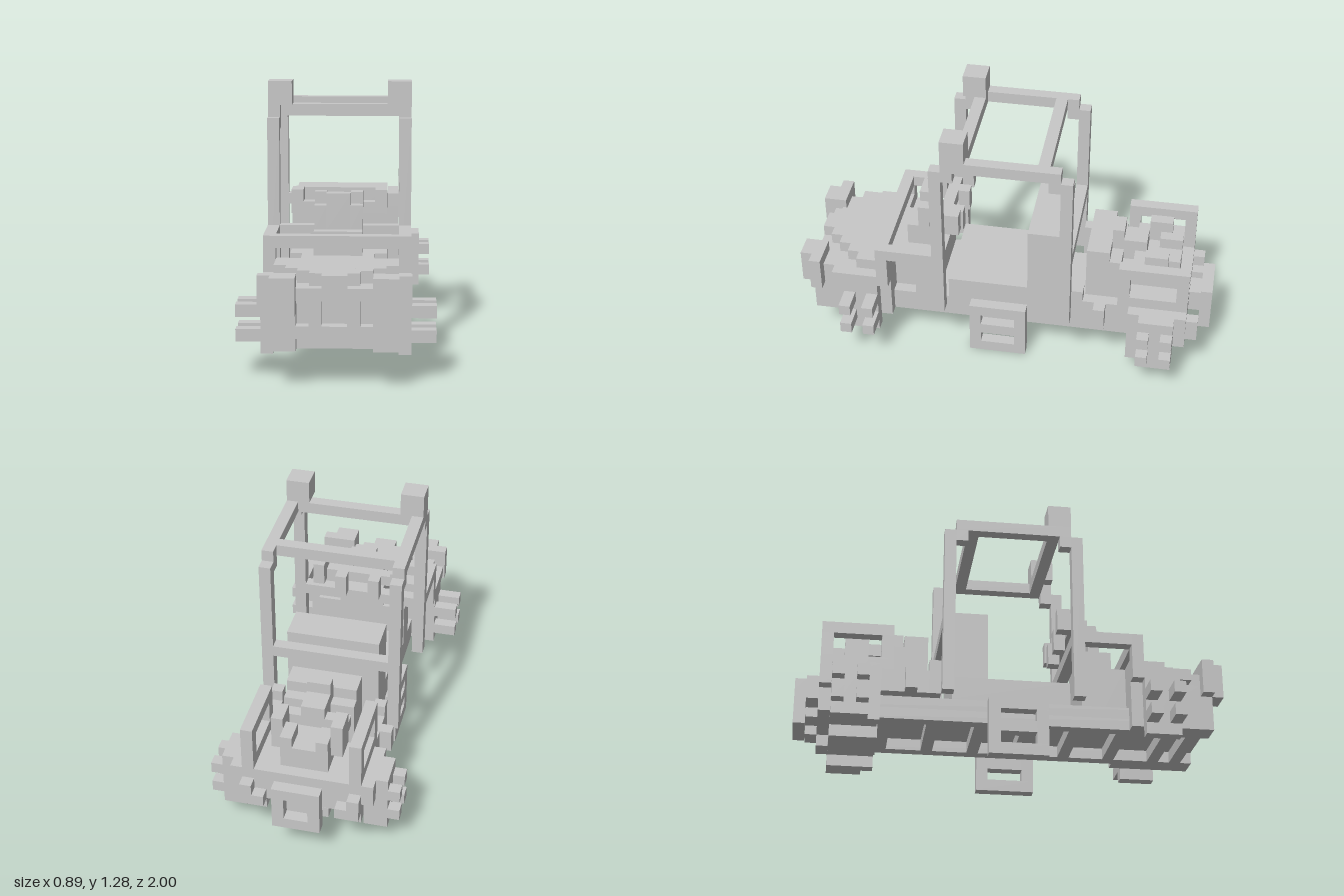
import * as THREE from 'three';

// All coordinates below are on a block grid, 18 blocks to the unit.
const U = 1 / 18;

export function createModel() {
  const root = new THREE.Group();
  root.name = 'blockBuggy';
  const grey = new THREE.MeshStandardMaterial({ color: 0xc8c8c8 });
  grey.name = 'plain grey';

  const box = (name, x0, x1, y0, y1, z0, z1) => {
    const m = new THREE.Mesh(
      new THREE.BoxGeometry((x1 - x0) * U, (y1 - y0) * U, (z1 - z0) * U), grey);
    m.position.set((x0 + x1) / 2 * U, (y0 + y1) / 2 * U, (z0 + z1) / 2 * U);
    m.name = name;
    root.add(m);
  };
  // Box spanning -w..w
  const mid = (name, w, ...r) => box(name, -w, w, ...r);
  // Mirrored pair
  const pair = (name, x0, x1, ...r) => {
    box(name + 'Left', x0, x1, ...r);
    box(name + 'Right', -x1, -x0, ...r);
  };
  // Upright rectangular frame, one block thick, facing sideways
  const sideFrame = (name, x, y0, y1, z0, z1) => {
    pair(name + 'Bottom', x, x + 1, y0, y0 + 1, z0, z1);
    pair(name + 'Top', x, x + 1, y1 - 1, y1, z0, z1);
    pair(name + 'Back', x, x + 1, y0 + 1, y1 - 1, z0, z0 + 1);
    pair(name + 'Front', x, x + 1, y0 + 1, y1 - 1, z1 - 1, z1);
  };

  // Chassis with a ladder underside
  mid('floor', 4, 4, 5, -16, 15);
  pair('chassisRail', 3, 4, 3, 4, -16, 15);
  for (let z = -11; z < 15; z += 4) mid('crossMember', 3, 3, 4, z, z + 1);
  mid('cabinBase', 4, 5, 7, -5, 5);
  mid('seatBack', 4, 7, 13, -5, -2);

  // Side steps
  sideFrame('step', 4, 0, 5, -2, 3);
  pair('stepRung', 4, 5, 2, 3, -1, 2);

  // Roll cage
  for (const s of [1, -1]) {
    const z = s > 0 ? 5 : -6;
    pair('pillar', 5, 6, 5, 20, z, z + 1);
    const k = s > 0 ? 4 : -5;
    pair('cageCorner', 5, 6, 19, 20, k, k + 1);
    const c = s > 0 ? 3 : -4;
    mid('roofBar', 5, 20, 21, c, c + 1);
  }
  pair('roofRail', 5, 6, 20, 21, -5, 5);
  pair('roofLamp', 4, 6, 21, 23, 3, 5);
  mid('rearCageBar', 5, 11, 12, -6, -5);

  // Cowl frame in front of the cabin
  mid('cowlBar', 6, 10, 11, 10, 11);
  pair('cowlPost', 5, 6, 9, 10, 10, 11);
  pair('cowlRail', 5, 6, 10, 11, 6, 10);
  mid('dashBar', 5, 10, 11, 5, 6);

  // Dash and steering
  mid('dashBase', 4, 5, 9, 6, 8);
  mid('dashStep', 3, 5, 9, 8, 10);
  mid('dashTop', 2, 9, 11, 6, 9);
  mid('steeringHub', 1, 11, 14, 7, 8);
  pair('steeringArm', 1, 2, 11, 13, 7, 8);
  pair('steeringBlock', 1, 2, 12, 14, 6, 7);
  mid('steeringBar', 3, 12, 13, 5, 6);
  pair('handle', 3, 4, 12, 14, 4, 6);
  pair('lever', 1, 2, 11, 13, 4, 5);

  // Nose, with a hood that narrows in steps towards the front
  mid('noseBody', 4, 5, 8, 10, 15);
  [[6, 10, 11], [5, 11, 13], [4, 13, 14], [3, 14, 15], [2, 15, 16], [1, 16, 17]]
    .forEach(([w, z0, z1]) => mid('hoodStep', w, 8, 9, z0, z1));
  pair('fender', 4, 6, 7, 8, 10, 15);
  pair('noseSide', 4, 5, 3, 7, 10, 16);
  pair('noseCorner', 4, 5, 7, 8, 15, 16);
  mid('grilleBack', 4, 3, 8, 15, 16);
  mid('bumper', 5, 4, 5, 16, 17);
  pair('bumperEnd', 3, 5, 3, 4, 16, 17);
  mid('grilleTop', 3, 7, 8, 16, 17);
  pair('grillePost', 1, 2, 5, 7, 16, 17);
  pair('grilleSide', 3, 5, 5, 6, 16, 17);
  pair('headlamp', 3, 6, 6, 9, 16, 17);
  pair('headlampLens', 3, 5, 6, 9, 17, 18);

  // Front wheels with long knobs
  pair('frontWheel', 5, 6, 2, 7, 11, 14);
  for (const y of [3, 5]) for (const z of [11, 13])
    pair('frontKnob', 6, 8, y, y + 1, z, z + 1);

  // Rear deck and wheels
  mid('rearDeck', 5, 5, 7, -16, -11);
  pair('rearSide', 4, 5, 3, 5, -16, -11);
  pair('rearFender', 5, 6, 5, 7, -16, -11);
  pair('rearWheel', 5, 6, 2, 5, -15, -11);
  pair('rearHub', 6, 7, 2, 7, -15, -12);
  for (const y of [3, 5]) for (const z of [-15, -13])
    pair('rearKnob', 7, 8, y, y + 1, z, z + 1);
  mid('differential', 2, 2, 3, -15, -11);

  // Struts and side frames around the engine
  sideFrame('engineFrame', 4, 7, 11, -16, -10);
  pair('strutFoot', 4, 5, 5, 8, -7, -6);
  pair('strut', 4, 5, 5, 7, -11, -7);
  pair('strutPeg', 5, 6, 5, 7, -9, -8);

  // Engine
  mid('engineBlock', 3, 5, 10, -10, -7);
  mid('engineCover', 3, 10, 11, -9, -7);
  mid('engineRear', 2, 7, 9, -15, -10);
  mid('engineSpine', 1, 9, 11, -12, -9);
  mid('airIntake', 1, 11, 12, -10, -9);
  pair('cylinder', 1, 3, 9, 10, -12, -11);
  pair('cylinderCap', 2, 3, 8, 11, -14, -12);
  pair('exhaustStub', 1, 2, 9, 10, -15, -13);

  // Hitch and tail frame
  mid('hitch', 1, 4, 6, -17, -16);
  mid('tailFrameTop', 2, 6, 7, -18, -17);
  mid('tailFrameBottom', 2, 3, 4, -18, -17);
  pair('tailFrameSide', 1, 2, 4, 6, -18, -17);
  pair('tailLamp', 3, 5, 4, 5, -17, -16);
  pair('tailLampTop', 4, 5, 5, 6, -17, -16);

  return root;
}
